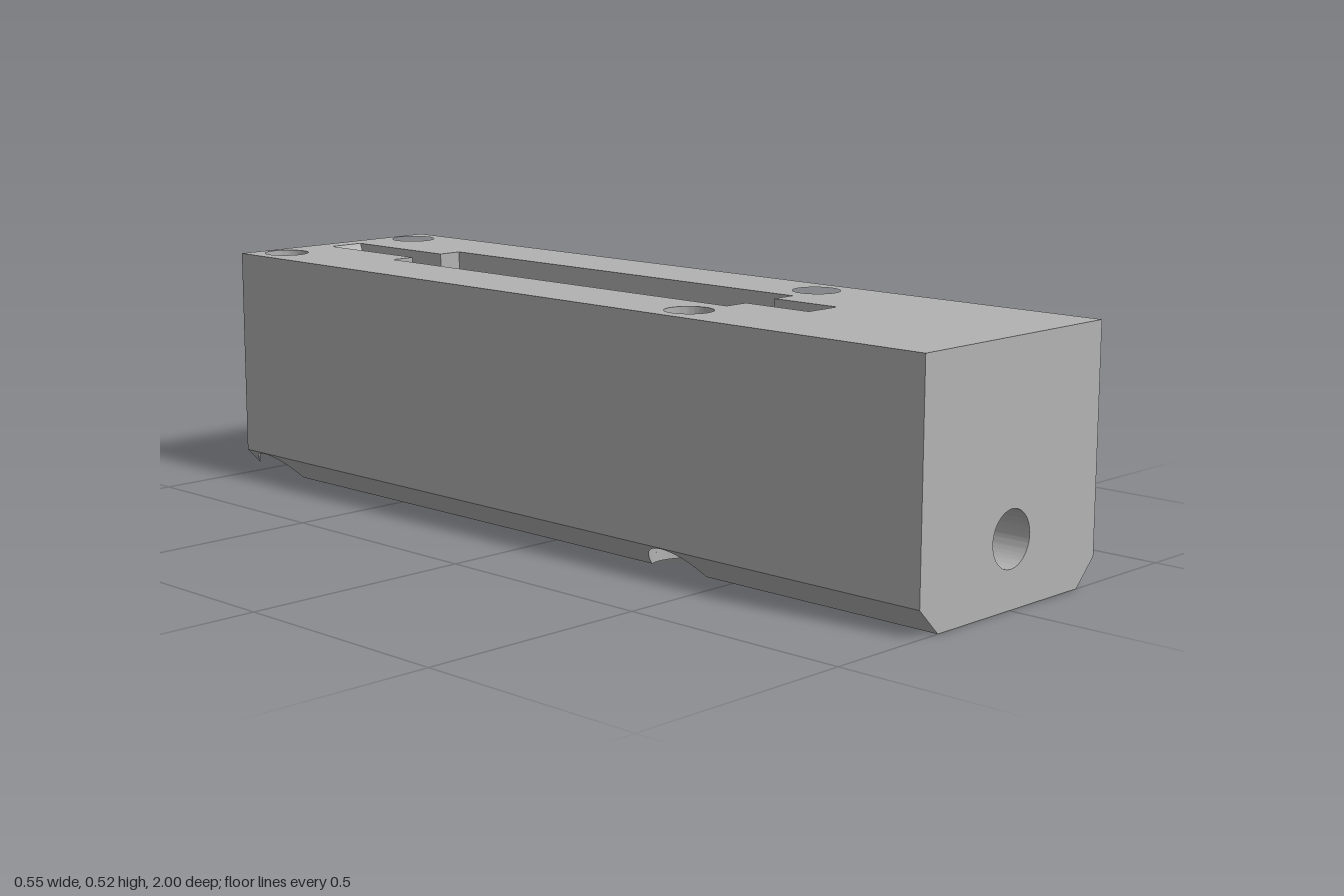
import * as THREE from 'three';
import { toCreasedNormals } from 'three/addons/utils/BufferGeometryUtils.js';

const W = 0.274, C = 0.219, H = 0.522, ZF = 0.435; // half width, half base width, height, cavity front
const HX = 0.193, ZB = -0.935, ZH = 0.355;         // screw hole positions
const R = 0.079, RH = 0.05;                        // counterbore and screw hole radii

// Points of a circular arc in plan (x, z)
function arc(cz, a0, a1, n = 16) {
  return Array.from({ length: n + 1 }, (_, i) => {
    const a = a0 + (a1 - a0) * i / n;
    return [HX + R * Math.cos(a), cz + R * Math.sin(a)];
  });
}

function circle(x, y, r) {
  return new THREE.Path().absarc(x, y, r, 0, Math.PI * 2, true);
}

export function createModel() {
  const group = new THREE.Group();
  const grey = new THREE.MeshStandardMaterial({ color: 0xb2b2b2 });
  grey.name = 'grey';

  function add(name, geo) {
    const mesh = new THREE.Mesh(toCreasedNormals(geo, 0.5), grey);
    mesh.name = name;
    group.add(mesh);
  }

  // Plan outline raised from y0 to y1, made for both sides
  function layer(name, y0, y1, pts, holes = [], chamfer = false) {
    for (const s of [1, -1]) {
      const shape = new THREE.Shape(pts.map(([x, z]) => new THREE.Vector2(s * x, -z)));
      for (const z of holes) shape.holes.push(circle(s * HX, -z, RH));
      const geo = new THREE.ExtrudeGeometry(shape, { depth: y1 - y0, bevelEnabled: false, curveSegments: 32 });
      geo.rotateX(-Math.PI / 2).translate(0, y0, 0);
      if (chamfer) {
        // lift the underside towards the outer edge
        const p = geo.attributes.position;
        for (let i = 0; i < p.count; i++) {
          if (p.getY(i) < 0.001) p.setY(i, Math.max(0, Math.abs(p.getX(i)) - C));
        }
        geo.computeVertexNormals();
      }
      add(name, geo);
    }
  }

  // Base layers: counterbores opening to the back and the chamfered sides
  const baseEdge = [[0, -1], [0.148, -1], ...arc(ZB, 4.108, 1.235)];
  const slot = [[0.1, -0.66], [0, -0.66]];
  layer('baseLip', 0, 0.02, [...baseEdge, ...arc(ZH, -1.235, -3.0146), [0.1, 0.345], ...slot]);
  layer('base', 0.02, 0.12, [...baseEdge, ...arc(ZH, -1.235, -2.073), [0.155, 0.05], [0.1, 0.05], ...slot]);
  layer('chamferedEdge', 0, 0.12, [
    [W, -1], ...arc(ZB, -0.966, 1.235), ...arc(ZH, -1.235, 1.235), [C, ZF], [W, ZF],
  ], [], true);

  // Upper layers: screw holes, long slot with widened ends, narrow end slots
  const outer = [[0, -1], [W, -1], [W, ZF]];
  const wide = [[0.14, ZF], [0.14, 0.315], [0.1, 0.315], [0.1, -0.594], [0.14, -0.594], [0.14, -0.66]];
  const narrow = [[0.043, -0.66], [0.043, -0.955], [0, -0.955]];
  const holes = [ZB, ZH];
  layer('lowerWall', 0.12, 0.27, [...outer, [0.14, ZF], [0.14, 0.05], [0.1, 0.05], ...slot], holes);
  layer('middleWall', 0.27, 0.42, [...outer, ...wide, [0, -0.66]], holes);
  layer('upperWall', 0.42, 0.475, [...outer, ...wide, ...narrow], holes);
  layer('topPlate', 0.475, H,
    [...outer, [0.043, ZF], [0.043, 0.37], [0.1, 0.37], [0.1, -0.66], ...narrow], holes);

  // Front block: bored sections along z
  function section(name, z0, z1, r, notch) {
    const pts = [[-C, 0], [C, 0], [W, 0.055], [W, H], ...notch, [-W, H], [-W, 0.055]];
    const shape = new THREE.Shape(pts.map(([x, y]) => new THREE.Vector2(x, y)));
    shape.holes.push(circle(0, 0.138, r));
    const geo = new THREE.ExtrudeGeometry(shape, { depth: z1 - z0, bevelEnabled: false, curveSegments: 48 });
    add(name, geo.translate(0, 0, z0));
  }
  section('pocketBlock', ZF, 0.535, 0.116, [[0.043, H], [0.043, 0.42], [-0.043, 0.42], [-0.043, H]]);
  section('frontBlock', 0.535, 1, 0.058, []);

  // Curved floors of the narrow end slots
  function ramp(name, zEnd, zMid, zIn) {
    const shape = new THREE.Shape();
    shape.moveTo(zEnd, 0.42);
    shape.lineTo(zEnd, H);
    shape.quadraticCurveTo(zMid, 0.43, zIn, 0.42);
    const geo = new THREE.ExtrudeGeometry(shape, { depth: 0.086, bevelEnabled: false, curveSegments: 10 });
    add(name, geo.translate(0, 0, -0.043).rotateY(-Math.PI / 2));
  }
  ramp('frontSlotRamp', 0.535, 0.525, 0.44);
  ramp('rearSlotRamp', -0.955, -0.93, -0.7);

  return group;
}
